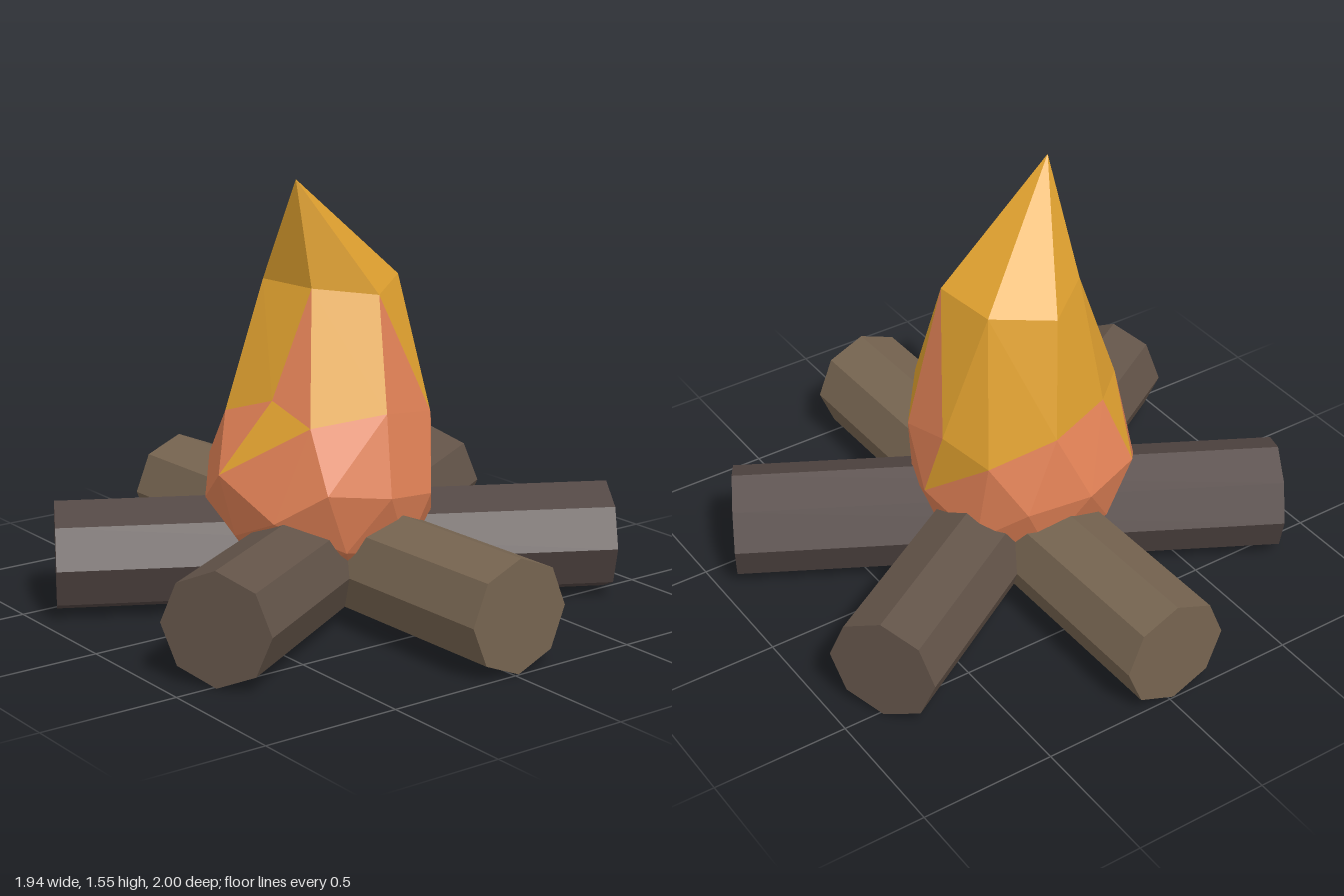
import * as THREE from 'three';

// Flame profile: sphere height -> [height, centre x, centre z, radius, twist in degrees]
const PROFILE = [
  [-1.00, 0.06, -0.07, 0.00, 0.42, 0],
  [0.00, 0.48, -0.07, 0.00, 0.425, 0],
  [0.31, 0.68, -0.02, 0.00, 0.40, 12],
  [0.53, 0.75, 0.00, 0.00, 0.41, 16],
  [0.81, 1.18, 0.00, -0.02, 0.41, 6],
  [0.85, 1.145, 0.00, -0.02, 0.47, 6],
  [1.00, 1.555, -0.235, 0.10, 0.42, 6],
];

function profileAt(y) {
  let i = 0;
  while (i < PROFILE.length - 2 && y > PROFILE[i + 1][0]) i++;
  const a = PROFILE[i], b = PROFILE[i + 1];
  const t = THREE.MathUtils.clamp((y - a[0]) / (b[0] - a[0]), 0, 1);
  return a.slice(1).map((v, k) => v + (b[k + 1] - v) * t);
}

// Pulls a point of the unit sphere into the leaning flame
function warp(p) {
  const [h, cx, cz, r, deg] = profileAt(p.y);
  const c = Math.cos(deg * Math.PI / 180), s = Math.sin(deg * Math.PI / 180);
  const tilt = p.y < 0.6 ? 0.06 * p.x : 0;
  return [cx + r * (p.x * c + p.z * s), h - tilt, cz + r * (p.z * c - p.x * s)];
}

// Decides whether a facet belongs to the yellow tongues or the orange base
function isYellow(c, central) {
  if (c.y > 0.68 || (c.y > 0.5 && (central || c.z < -0.1))) return true;
  if (c.y > 0.2 && Math.abs(c.x) > 0.8 && c.x * c.z < 0) return true;
  return c.y > 0.25 && c.x < -0.4 && c.z < -0.6;
}

function makeFlame() {
  const ball = new THREE.IcosahedronGeometry(1, 1).rotateY(Math.PI / 2);
  const pos = ball.getAttribute('position');
  const yellow = [], orange = [];
  for (let f = 0; f < pos.count / 3; f++) {
    const pts = [0, 1, 2].map((k) => new THREE.Vector3().fromBufferAttribute(pos, f * 3 + k));
    const mid = new THREE.Vector3().add(pts[0]).add(pts[1]).add(pts[2]).divideScalar(3);
    const list = isYellow(mid, f % 4 === 1) ? yellow : orange;
    pts.forEach((p) => list.push(...warp(p)));
  }
  const flame = new THREE.Group();
  flame.name = 'flame';
  for (const [name, list, color] of [['flameTip', yellow, 0xdfa02f], ['flameBase', orange, 0xdf8055]]) {
    const geo = new THREE.BufferGeometry();
    geo.setAttribute('position', new THREE.Float32BufferAttribute(list, 3));
    geo.computeVertexNormals();
    const mesh = new THREE.Mesh(geo, new THREE.MeshStandardMaterial({ color, flatShading: true }));
    mesh.name = name;
    flame.add(mesh);
  }
  return flame;
}

export function createModel() {
  const group = new THREE.Group();
  group.name = 'campfire';

  // Three eight-sided logs crossing at the middle
  const logGeo = new THREE.CylinderGeometry(0.2, 0.2, 1.993, 8).rotateX(Math.PI / 2);
  [0x766450, 0x524643, 0x625348].forEach((color, i) => {
    const log = new THREE.Mesh(logGeo, new THREE.MeshStandardMaterial({ color, flatShading: true }));
    log.name = 'log' + (i + 1);
    log.position.y = 0.2;
    log.rotation.y = (1 + 60 * i) * Math.PI / 180;
    group.add(log);
  });

  group.add(makeFlame());
  return group;
}
